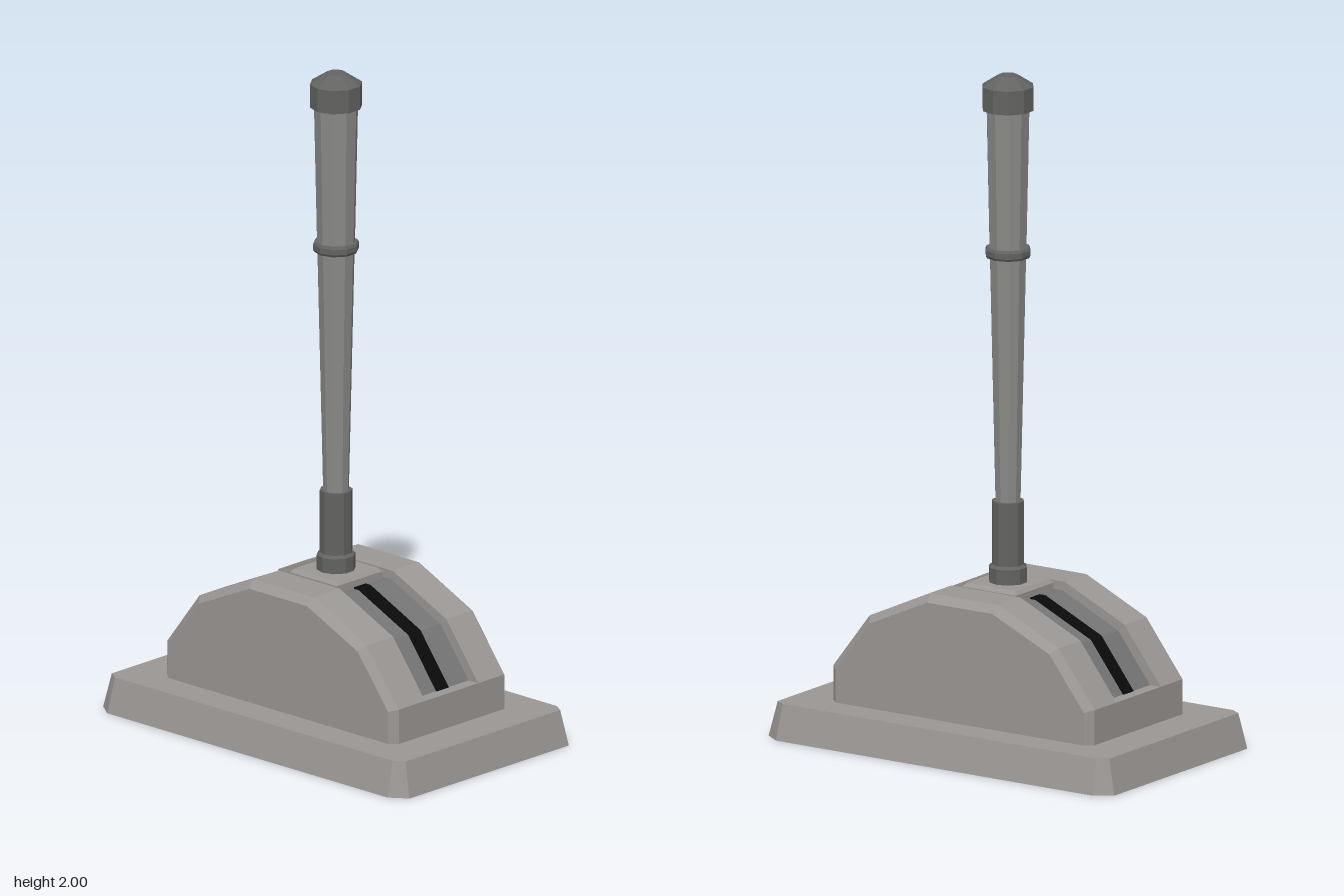
import * as THREE from 'three';
import { ConvexGeometry } from 'three/addons/geometries/ConvexGeometry.js';

const mat = (name, color, side = THREE.FrontSide) => {
  const m = new THREE.MeshStandardMaterial({ color, flatShading: true, side });
  m.name = name;
  return m;
};

export function createModel() {
  const model = new THREE.Group();
  model.name = 'floorLever';

  const casing = mat('casing grey', 0x9b9794, THREE.DoubleSide);
  const channel = mat('channel grey', 0x757575);
  const black = mat('slot black', 0x0a0a0a);
  const steel = mat('shaft grey', 0x8a8a87);
  const dark = mat('fitting grey', 0x636362);

  const add = (name, geometry, material, parent = model) => {
    const mesh = new THREE.Mesh(geometry, material);
    mesh.name = name;
    parent.add(mesh);
    return mesh;
  };

  // Rectangle with cut corners, running from +x towards +z
  const cutRect = (hx, hz, cx, cz, y) => [
    [hx, -hz + cz], [hx, hz - cz], [hx - cx, hz], [-hx + cx, hz],
    [-hx, hz - cz], [-hx, -hz + cz], [-hx + cx, -hz], [hx - cx, -hz],
  ].map(([x, z]) => [x, y, z]);

  // Base: a tapered tray, open underneath
  const low = cutRect(0.373, 0.613, 0.037, 0.052, 0);
  const high = cutRect(0.346, 0.588, 0.02, 0.032, 0.105);
  const pos = [];
  low.forEach((b0, i) => {
    const j = (i + 1) % low.length;
    pos.push(...b0, ...high[i], ...high[j], ...b0, ...high[j], ...low[j]);
    pos.push(0, 0.105, 0, ...high[j], ...high[i]);
  });
  const baseGeo = new THREE.BufferGeometry();
  baseGeo.setAttribute('position', new THREE.Float32BufferAttribute(pos, 3));
  baseGeo.computeVertexNormals();
  add('base', baseGeo, casing);

  // Housing cheeks: arched slabs with a bevelled outer edge
  const arch = [[0.463, 0.1], [0.463, 0.21], [0.335, 0.377], [0.122, 0.475]];
  const archInset = [[0.44, 0.1], [0.44, 0.203], [0.318, 0.36], [0.115, 0.452]];
  for (const s of [1, -1]) {
    const points = [];
    for (const [x, profile] of [[0.112, arch], [0.222, arch], [0.244, archInset]])
      for (const [z, y] of profile)
        points.push(new THREE.Vector3(s * x, y, z), new THREE.Vector3(s * x, y, -z));
    add(s > 0 ? 'leftCheek' : 'rightCheek', new ConvexGeometry(points), casing);
  }

  // Sill between the cheeks
  add('sill', new THREE.BoxGeometry(0.224, 0.11, 0.926), casing).position.y = 0.155;

  // Sunken channel floor and the slot along it, both swept across x
  const sweep = (profile, width) => {
    const outline = [...profile, ...profile.map(([z, y]) => [-z, y]).reverse()];
    const shape = new THREE.Shape(outline.map(([z, y]) => new THREE.Vector2(z, y)));
    return new THREE.ExtrudeGeometry(shape, { depth: width, bevelEnabled: false })
      .translate(0, 0, -width / 2).rotateY(-Math.PI / 2);
  };
  add('channelFloor', sweep([[0.425, 0.205], [0.425, 0.21], [0.312, 0.357], [0.114, 0.448]], 0.224), channel);
  add('slot', sweep([[0.428, 0.206], [0.428, 0.211], [0.314, 0.36], [0.115, 0.452]], 0.05), black);

  // Square collar plate with a bevelled top
  const collar = [];
  for (const [h, y] of [[0.095, 0.44], [0.095, 0.472], [0.086, 0.483]])
    for (const sx of [1, -1])
      for (const sz of [1, -1]) collar.push(new THREE.Vector3(sx * h, y, sz * h));
  add('collarPlate', new ConvexGeometry(collar), casing);

  // Ten-sided turned lever parts
  const lever = new THREE.Group();
  lever.name = 'lever';
  model.add(lever);
  const turned = (name, profile, material) => {
    const geo = new THREE.LatheGeometry(profile.map(([r, y]) => new THREE.Vector2(r, y)), 10)
      .rotateY(Math.PI / 2).toNonIndexed();
    geo.computeVertexNormals();
    add(name, geo, material, lever);
  };
  turned('socket', [[0, 0.475], [0.057, 0.475], [0.057, 0.528], [0.048, 0.536], [0.048, 0.725], [0, 0.725]], dark);
  turned('shaft', [[0.038, 0.72], [0.055, 1.46], [0.056, 1.48], [0.065, 1.9]], steel);
  turned('gripRing', [[0.053, 1.455], [0.064, 1.455], [0.068, 1.462], [0.068, 1.478], [0.064, 1.485], [0.053, 1.485]], dark);
  turned('endCap', [[0, 1.897], [0.077, 1.897], [0.077, 1.968], [0.028, 2], [0, 2]], dark);

  return model;
}
